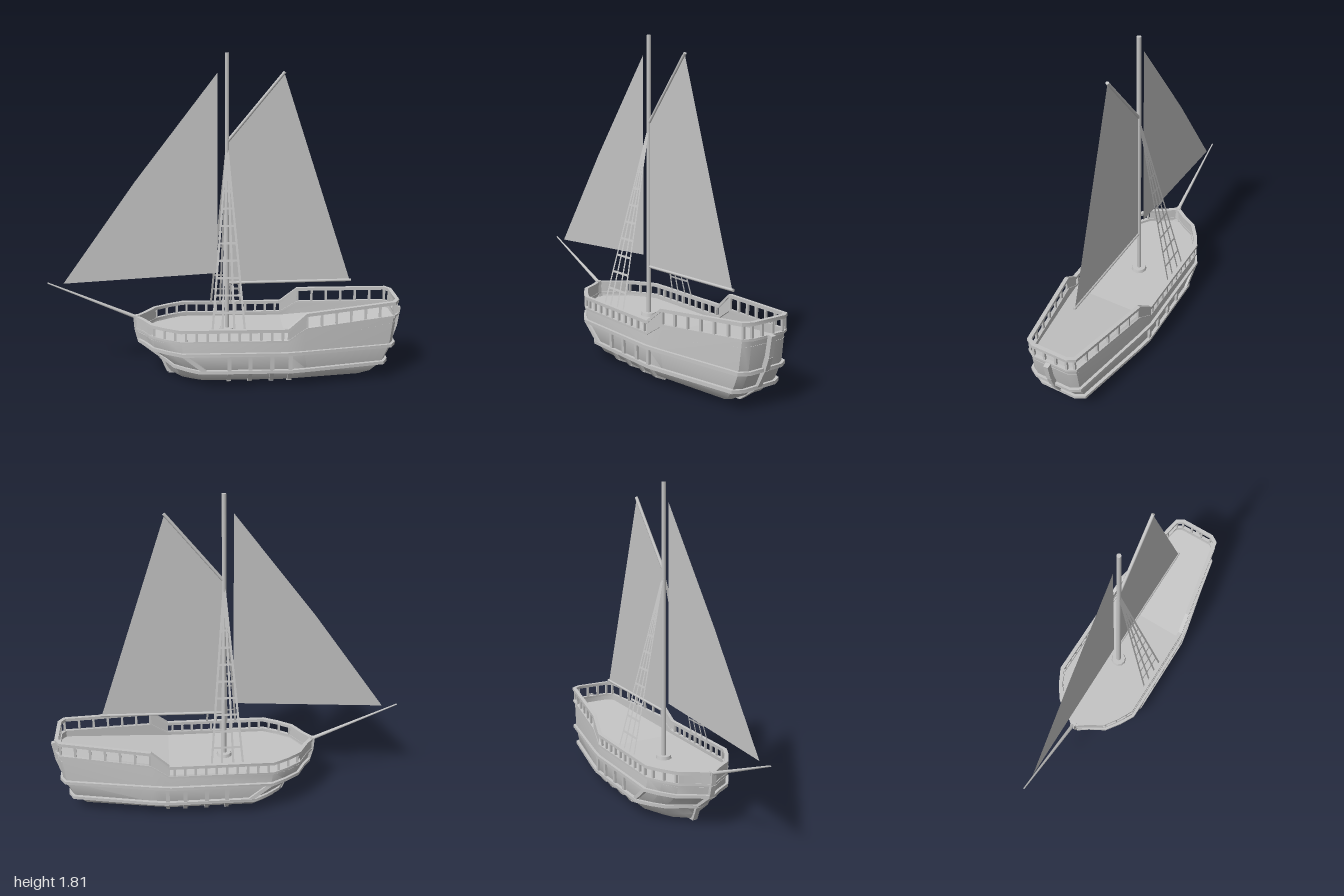
import * as THREE from 'three';
import { toCreasedNormals } from 'three/addons/utils/BufferGeometryUtils.js';

const V = (x, y, z) => new THREE.Vector3(x, y, z);

// Half plan of the hull at the sheer line, bow to stern [x, z]
const PLAN = [[-0.5, 0.012], [-0.46, 0.065], [-0.41, 0.15], [-0.33, 0.205], [-0.25, 0.247],
  [0.33, 0.247], [0.43, 0.232], [0.93, 0.14], [0.955, 0.1]];
// Hull levels: height, bow x, stern x, width factor
const LEVELS = [[0.008, -0.32, 0.77, 0.6], [0.04, -0.34, 0.83, 0.84], [0.1, -0.36, 0.89, 1.0],
  [0.2, -0.485, 0.935, 1.02], [0.27, -0.5, 0.955, 1]];

const steps = (x, xs, ys) => {
  for (let i = 1; i < xs.length; i++) {
    if (x <= xs[i]) return THREE.MathUtils.mapLinear(Math.max(x, xs[0]), xs[i - 1], xs[i], ys[i - 1], ys[i]);
  }
  return ys[ys.length - 1];
};
const sheer = x => steps(x, [-0.5, 0.33, 0.43, 0.955], [0.27, 0.27, 0.335, 0.37]);
const railY = x => steps(x, [-0.5, 0.33, 0.43, 0.955], [0.332, 0.332, 0.415, 0.447]);
const deckY = x => steps(x, [-0.5, 0.33, 0.955], [0.25, 0.25, 0.335]);

const half = l => {
  const [y, bow, stern, k] = LEVELS[l];
  return PLAN.map(([x, z]) => V(THREE.MathUtils.mapLinear(x, -0.5, 0.955, bow, stern), l === 4 ? sheer(x) : y, z * k));
};
const ring = h => [...h, ...h.slice().reverse().map(p => V(p.x, p.y, -p.z))];
const zAt = (l, x) => {
  const h = half(l);
  return steps(x, h.map(p => p.x), h.map(p => p.z));
};

// Skin between equal-length rows of points
function loft(rows, closed) {
  const n = rows[0].length, idx = [];
  for (let i = 0; i < rows.length - 1; i++) {
    for (let j = 0; j < (closed ? n : n - 1); j++) {
      const a = i * n + j, b = i * n + (j + 1) % n;
      idx.push(a, b, a + n, b, b + n, a + n);
    }
  }
  const g = new THREE.BufferGeometry().setFromPoints(rows.flat());
  g.setIndex(idx);
  return toCreasedNormals(g, 0.6);
}

// Rectangular strip following a path, mitred in plan
function sweep(path, w, h, closed = false, out = 0) {
  const n = path.length;
  const rows = path.map((p, i) => {
    const prev = closed ? path[(i + n - 1) % n] : path[Math.max(i - 1, 0)];
    const next = closed ? path[(i + 1) % n] : path[Math.min(i + 1, n - 1)];
    const d2 = next.clone().sub(p).setY(0).normalize();
    const d1 = p.clone().sub(prev).setY(0).normalize();
    const t = d1.clone().add(d2).normalize();
    const m = 1 / Math.max(0.5, t.dot(d2.lengthSq() ? d2 : d1));
    const side = V(-t.z, 0, t.x).multiplyScalar(m);
    return [[-1, -1], [1, -1], [1, 1], [-1, 1]].map(([s, u]) =>
      p.clone().addScaledVector(side, s * w / 2 + out).add(V(0, u * h / 2, 0)));
  });
  if (closed) rows.push(rows[0].map(p => p.clone()));
  return loft(rows, true);
}

export function createModel() {
  const root = new THREE.Group();
  root.name = 'sailingShip';
  const grey = new THREE.MeshStandardMaterial({ color: 0xc4c4c4, side: THREE.DoubleSide });
  grey.name = 'plain grey';

  const add = (name, geo, parent = root) => {
    const m = new THREE.Mesh(geo, grey);
    m.name = name;
    parent.add(m);
    return m;
  };
  const group = name => {
    const g = new THREE.Group();
    g.name = name;
    root.add(g);
    return g;
  };
  const orient = (m, a, b) => {
    m.position.copy(a).lerp(b, 0.5);
    m.quaternion.setFromUnitVectors(V(0, 1, 0), b.clone().sub(a).normalize());
  };
  const beam = (name, a, b, w, parent, d = w) =>
    orient(add(name, new THREE.BoxGeometry(w, a.distanceTo(b), d), parent), a, b);
  const spar = (name, a, b, r0, r1 = r0) =>
    orient(add(name, new THREE.CylinderGeometry(r1, r0, a.distanceTo(b), 10)), a, b);

  // Hull shell, bottom and decks
  add('hull', loft(LEVELS.map((_, l) => ring(half(l))), true));
  const across = (pts, yf) => loft([1, -1].map(s => pts.map(p => V(p.x, yf(p), p.z * s))), false);
  add('hullBottom', across(half(0), p => p.y));
  const top = half(4);
  add('mainDeck', across(top.slice(0, 6), p => deckY(p.x)));
  add('aftDeck', across(top.slice(5), p => deckY(p.x)));

  // Bulwark cap, hand rail and belts round the hull
  const railPath = top.map(p => V(p.x, railY(p.x), p.z));
  add('bulwarkCap', sweep(ring(top), 0.02, 0.012, true));
  add('handRail', sweep(ring(railPath), 0.022, 0.018, true));
  add('upperBelt', sweep(ring(half(3)), 0.026, 0.018, true, 0.003));
  add('lowerBelt', sweep(ring(half(2)), 0.026, 0.018, true, 0.006));

  // Solid panels at the bow and where the rail steps up
  const mid = top.map(p => V(p.x, (sheer(p.x) + railY(p.x)) / 2, p.z));
  for (const s of [1, -1]) {
    const flip = pts => pts.map(p => V(p.x, p.y, p.z * s));
    add('bowPanel', sweep(flip(mid.slice(0, 3)), 0.014, 0.064));
    add('stepPanel', sweep(flip(mid.slice(5, 7)), 0.014, 0.075));
  }

  // Rail posts
  const posts = group('railPosts');
  const post = (x, z) => beam('railPost', V(x, sheer(x), z), V(x, railY(x), z), 0.013, posts);
  for (const s of [1, -1]) {
    for (let i = 0; i < 13; i++) post(-0.4 + i * 0.0585, s * zAt(4, -0.4 + i * 0.0585));
    for (let i = 0; i < 7; i++) post(0.435 + i * 0.083, s * zAt(4, 0.435 + i * 0.083));
    post(0.953, s * 0.1);
    post(0.953, s * 0.035);
  }

  // Ribs and slanting bow braces on both sides
  const ribs = group('hullRibs');
  for (const s of [1, -1]) {
    for (const x of [0.01, 0.125, 0.245, 0.345]) {
      for (let l = 0; l < 3; l++) {
        const p = k => V(x, Math.max(LEVELS[k][0], 0.012), s * (zAt(k, x) + 0.003));
        beam('rib', p(l), p(l + 1), 0.022, ribs);
      }
    }
    beam('bowBrace', V(-0.24, 0.2, s * (zAt(3, -0.24) + 0.002)), V(-0.12, 0.1, s * (zAt(2, -0.12) + 0.004)), 0.022, ribs);
  }

  // Keel, stem and stern post
  const spine = group('keel');
  const chain = (name, pts, w) => {
    for (let i = 1; i < pts.length; i++) {
      beam(name, V(...pts[i - 1], 0), V(...pts[i], 0), w, spine);
    }
  };
  beam('keelBar', V(-0.33, 0.008, 0), V(0.78, 0.008, 0), 0.016, spine, 0.026);
  chain('stem', [[-0.325, 0.012], [-0.362, 0.1], [-0.488, 0.2], [-0.505, 0.27], [-0.51, 0.345]], 0.028);
  chain('sternPost', [[0.775, 0.012], [0.893, 0.1], [0.945, 0.2], [0.968, 0.27], [0.985, 0.38]], 0.028);

  // Mast and spars
  spar('mast', V(0.007, 0.24, 0), V(0.007, 1.805, 0), 0.013, 0.012);
  spar('mastCollar', V(0.007, 0.25, 0), V(0.007, 0.268, 0), 0.045, 0.04);
  spar('boom', V(0.01, 0.53, 0), V(0.71, 0.54, 0), 0.008);
  spar('gaff', V(0.012, 1.335, 0), V(0.318, 1.705, 0), 0.009);
  spar('bowsprit', V(-0.5, 0.33, 0), V(-0.998, 0.54, 0), 0.011, 0.004);

  // Sails
  const sail = (name, pts) =>
    add(name, new THREE.ShapeGeometry(new THREE.Shape(pts.map(p => new THREE.Vector2(...p)))));
  sail('mainSail', [[0.012, 0.535], [0.7, 0.545], [0.315, 1.7], [0.012, 1.335]]);
  sail('jib', [[-0.91, 0.535], [-0.045, 0.588], [-0.045, 1.7], [-0.5, 1.11]]);

  // Shrouds: flat rope ladders leaning in to the mast
  const feet = [-0.08, -0.026, 0.038, 0.095];
  for (const s of [1, -1]) {
    const shrouds = group('shrouds');
    const at = (x, t) => V(x + (0.007 - x) * t, 0.335 + 0.985 * t, s * 0.238 * (1 - t));
    const strip = (name, a, b, off) => add(name, loft([-1, 1].map(u =>
      [a, b].map(p => p.clone().addScaledVector(off, u * 0.006))), false), shrouds);
    for (const x of feet) strip('shroudRope', at(x, 0), at(x, 1), V(1, 0, 0));
    const up = at(0, 1).sub(at(0, 0)).setX(0).normalize();
    for (let i = 1; i < 11; i++) {
      const t = i * 0.093;
      strip('ratline', at(feet[0] - 0.005, t), at(feet[3] + 0.005, t), up);
    }
  }
  return root;
}
